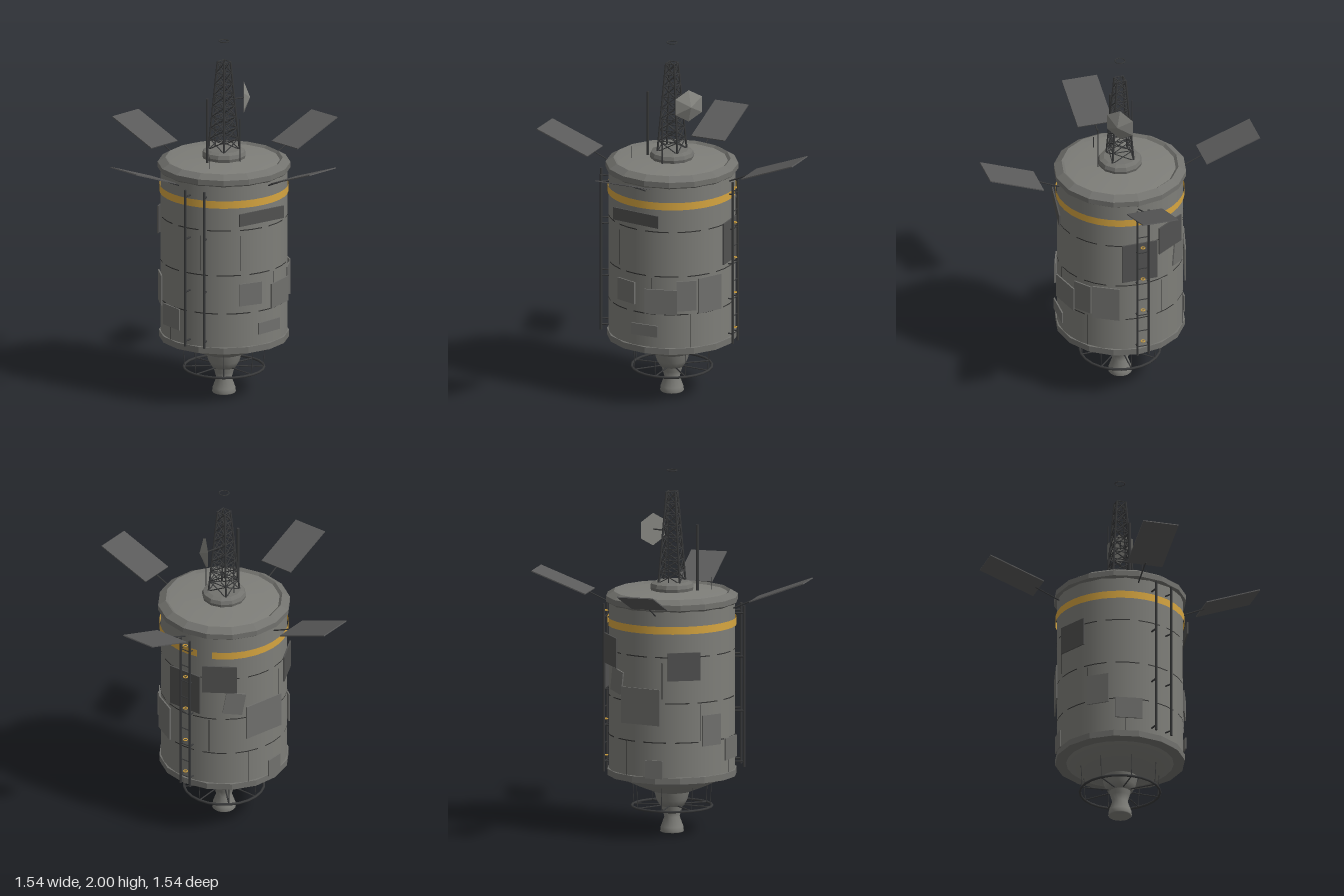
import * as THREE from 'three';

const mat = (name, color, side = THREE.FrontSide) => {
  const m = new THREE.MeshStandardMaterial({ color, side });
  m.name = name;
  return m;
};
const rad = THREE.MathUtils.degToRad;
const V = (x, y, z) => new THREE.Vector3(x, y, z);

export function createModel() {
  const root = new THREE.Group();
  root.name = 'spaceStation';
  const hull = mat('hullGrey', 0x7e7e79);
  const rimGrey = mat('rimGrey', 0x72726e);
  rimGrey.flatShading = true;
  const plate = mat('plateGrey', 0x70706d);
  const darkPlate = mat('darkPlateGrey', 0x525251);
  const solar = mat('solarGrey', 0x5a5a5a);
  const metal = mat('darkMetal', 0x393a3b);
  const gold = mat('goldFoil', 0xd6a540, THREE.DoubleSide);
  const seam = mat('seamGrey', 0x343433, THREE.DoubleSide);
  const dishGrey = mat('dishGrey', 0x84847f, THREE.DoubleSide);
  dishGrey.flatShading = true;

  const add = (name, geo, m, parent = root) => {
    const mesh = new THREE.Mesh(geo, m);
    mesh.name = name;
    parent.add(mesh);
    return mesh;
  };
  const group = (name, parent = root) => {
    const g = new THREE.Group();
    g.name = name;
    parent.add(g);
    return g;
  };
  // Straight rod between two points
  const rod = (name, a, b, r, m = metal, parent = root) => {
    const mesh = add(name, new THREE.CylinderGeometry(r, r, a.distanceTo(b), 6), m, parent);
    mesh.position.copy(a).add(b).multiplyScalar(0.5);
    mesh.quaternion.setFromUnitVectors(V(0, 1, 0), b.clone().sub(a).normalize());
    return mesh;
  };
  const lathe = (name, pts, seg, m) =>
    add(name, new THREE.LatheGeometry(pts.map(p => new THREE.Vector2(...p)), seg), m);
  // Curved strip on the hull between two angles in degrees, measured from +z to +x
  const arc = (name, y, h, r, from, to, m, parent = root) => {
    const seg = Math.max(1, Math.round((to - from) / 10));
    const mesh = add(name, new THREE.CylinderGeometry(r, r, h, seg, 1, true, rad(from), rad(to - from)), m, parent);
    mesh.position.y = y;
    return mesh;
  };
  const polar = (deg, r, y) => V(Math.sin(rad(deg)) * r, y, Math.cos(rad(deg)) * r);

  // Main body and its rims
  const body = add('hullCylinder', new THREE.CylinderGeometry(0.345, 0.345, 0.95, 32, 1, true), hull);
  body.position.y = 0.815;
  lathe('bottomRim', [[0.28, 0.315], [0.355, 0.32], [0.355, 0.355], [0.343, 0.358]], 16, rimGrey);
  lathe('topRim', [[0.34, 1.265], [0.362, 1.28], [0.362, 1.31], [0.32, 1.335], [0.305, 1.322]], 16, rimGrey);
  lathe('topLid', [[0.32, 1.32], [0.22, 1.332], [0, 1.345]], 32, hull);
  lathe('mastHub', [[0.115, 1.33], [0.122, 1.355], [0.115, 1.375], [0.09, 1.385], [0, 1.387]], 12, rimGrey);

  // Underside and engine
  lathe('lowerDome', [[0.1, 0.225], [0.2, 0.265], [0.27, 0.297], [0.3, 0.322]], 24, hull);
  lathe('engineHousing', [[0, 0.145], [0.065, 0.145], [0.085, 0.18], [0.1, 0.235]], 16, hull);
  lathe('nozzle', [[0, 0.03], [0.05, 0.012], [0.06, 0], [0.065, 0.005], [0.062, 0.03], [0.042, 0.085],
    [0.052, 0.12], [0.06, 0.15]], 16, hull);
  const cage = group('engineRing');
  const hoop = add('hoop', new THREE.TorusGeometry(0.219, 0.007, 6, 24), metal, cage);
  hoop.rotation.x = Math.PI / 2;
  hoop.position.y = 0.145;
  for (let i = 0; i < 8; i++) {
    rod('spoke', polar(i * 45, 0.06, 0.15), polar(i * 45, 0.219, 0.145), 0.004, metal, cage);
    rod('strut', polar(i * 45, 0.215, 0.145), polar(i * 45, 0.222, 0.275), 0.002, metal, cage);
  }

  // Gold band with one narrow gap
  arc('goldBand', 1.17, 0.042, 0.352, 117, 463, gold);

  // Broken seams around the hull and short vertical seams
  const seams = group('hullSeams');
  [1.02, 0.765, 0.548].forEach((y, row) => {
    for (let i = 0; i < 12; i++) arc('seam', y, 0.006, 0.3475, i * 30 + row * 9, i * 30 + row * 9 + 22, seam, seams);
  });
  for (let i = 0; i < 10; i++) {
    const y = [0.89, 0.655, 0.45][i % 3];
    arc('verticalSeam', y, 0.2, 0.3475, i * 36 - 30, i * 36 - 29.5, seam, seams);
  }

  // Patch plates: angle, height, width, tall, tilt, colour
  const patches = group('hullPlates');
  [
    [-9, 1.087, 0.295, 0.07, 0, darkPlate],
    [-20, 0.655, 0.13, 0.125, 0, plate],
    [15, 0.622, 0.18, 0.14, 0, plate],
    [38, 0.655, 0.11, 0.17, 0, plate],
    [61, 0.65, 0.15, 0.2, 0, plate],
    [0, 0.452, 0.16, 0.065, 0, plate],
    [91, 0.915, 0.2, 0.235, 0, darkPlate],
    [124, 1.02, 0.19, 0.165, 0, darkPlate],
    [137, 0.865, 0.11, 0.13, -10, plate],
    [166, 0.745, 0.24, 0.2, 0, plate],
    [206, 0.97, 0.18, 0.155, 0, darkPlate],
    [233, 0.61, 0.125, 0.17, 0, plate],
    [179, 0.4, 0.1, 0.1, 0, plate],
    [261, 0.49, 0.15, 0.12, 0, plate],
  ].forEach(([deg, y, w, h, tilt, m]) => {
    const p = add('plate', new THREE.BoxGeometry(w, h, 0.008), m, patches);
    p.position.copy(polar(deg, 0.351, y));
    p.rotation.set(0, rad(deg), rad(tilt), 'YXZ');
  });

  // Four raised solar panels on thin arms
  for (let i = 0; i < 4; i++) {
    const wing = group('solarWing');
    wing.rotation.y = i * Math.PI / 2;
    rod('panelArm', V(0, 1.25, 0.345), V(0, 1.31, 0.48), 0.004, metal, wing);
    const p = add('solarPanel', new THREE.BoxGeometry(0.2, 0.006, 0.325), solar, wing);
    p.position.set(0, 1.363, 0.615);
    p.rotation.x = -Math.atan2(0.115, 0.305);
  }

  // Ladder with gold loops on the left side
  const ladder = group('ladder');
  for (const z of [0.012, -0.052]) {
    rod('rail', V(0.37, 0.325, z), V(0.37, 1.25, z), 0.007, metal, ladder);
  }
  for (let i = 0; i < 9; i++) {
    const y = 0.38 + i * 0.1;
    rod('rung', V(0.37, y, 0.012), V(0.37, y, -0.052), 0.003, metal, ladder);
    if (i % 2) continue;
    for (const z of [0.012, -0.052]) rod('bracket', V(0.34, y, z), V(0.37, y, z), 0.004, metal, ladder);
    const loop = add('goldLoop', new THREE.TorusGeometry(0.011, 0.003, 6, 12), gold, ladder);
    loop.position.set(0.368, y + 0.03, -0.02);
    loop.rotation.x = Math.PI / 2;
  }

  // Pipes on the right side
  const pipes = group('sidePipes');
  for (const [x, z, y0] of [[-0.383, 0.09, 0.36], [-0.338, 0.19, 0.36]]) {
    rod('pipe', V(x, y0, z), V(x, 1.25, z), 0.007, metal, pipes);
    for (const y of [0.39, 0.67, 0.97, 1.21]) {
      rod('pipeBracket', V(x, y, z), V(x * 0.86, y, z * 0.86), 0.005, metal, pipes);
    }
  }

  // Lattice mast
  const mast = group('mast');
  const y0 = 1.38, y1 = 1.88, levels = 8;
  const corner = (c, t) => {
    const s = THREE.MathUtils.lerp(0.06, 0.025, t);
    return V([s, -s, -s, s][c % 4], THREE.MathUtils.lerp(y0, y1, t), [s, s, -s, -s][c % 4]);
  };
  for (let c = 0; c < 4; c++) {
    rod('mastLeg', corner(c, 0), corner(c, 1), 0.0055, metal, mast);
    for (let i = 0; i <= levels; i++) {
      const a = i / levels, b = (i + 1) / levels;
      rod('mastBar', corner(c, a), corner(c + 1, a), 0.003, metal, mast);
      if (i === levels) continue;
      rod('mastBrace', corner(c, a), corner(c + 1, b), 0.003, metal, mast);
      rod('mastBrace', corner(c + 1, a), corner(c, b), 0.003, metal, mast);
    }
  }
  const tip = add('mastRing', new THREE.TorusGeometry(0.028, 0.003, 4, 10), metal, mast);
  tip.rotation.x = Math.PI / 2;
  tip.position.y = 1.997;

  // Six-sided dish facing outward on a short stem
  const dish = group('dish');
  dish.position.set(0.122, 1.66, 0.04);
  dish.rotation.y = rad(47);
  const cone = add('dishCone', new THREE.ConeGeometry(0.09, 0.035, 6, 1), dishGrey, dish);
  cone.rotation.x = Math.PI / 2;
  cone.position.z = 0.01;
  rod('dishStem', V(0.03, 1.66, 0.01), V(0.12, 1.66, 0.04), 0.004);

  // Whip antennas
  rod('tallAntenna', V(-0.14, 1.33, 0.012), V(-0.14, 1.7, 0.012), 0.008);
  rod('thinAntenna', V(0, 1.33, 0.125), V(0, 1.58, 0.125), 0.003);
  rod('thinAntenna', V(0, 1.33, -0.068), V(0, 1.73, -0.068), 0.003);
  rod('shortAntenna', V(-0.2, 1.33, 0.09), V(-0.2, 1.4, 0.09), 0.002);

  return root;
}
